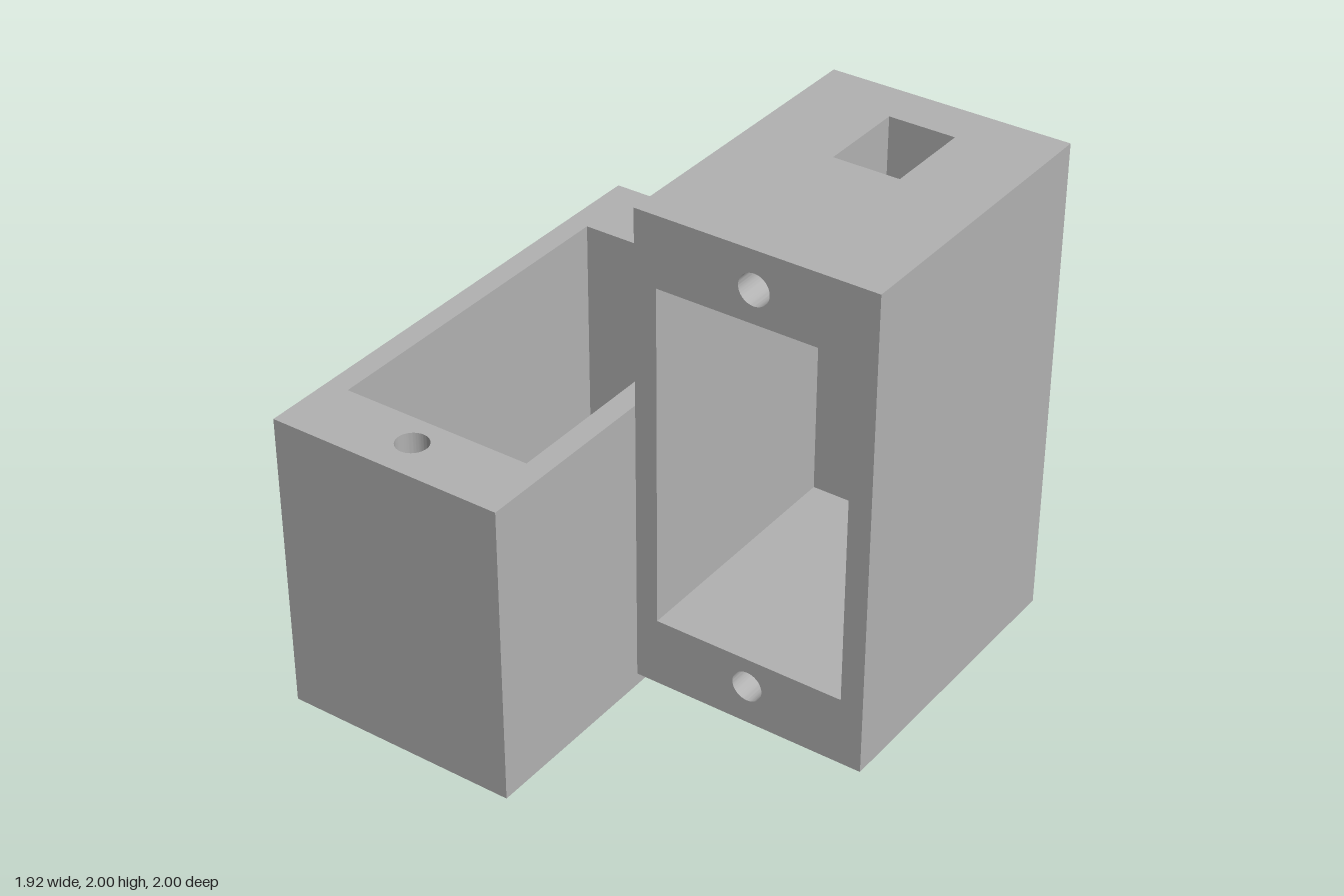
import * as THREE from 'three';
import { toCreasedNormals } from 'three/addons/utils/BufferGeometryUtils.js';

const grey = new THREE.MeshStandardMaterial({ color: 0xb2b2b2 });
grey.name = 'plainGrey';

const DEPTH = 1.22, BACK = 0.19, SLOT_END = 0.55, SCREW_DEPTH = 0.4;

function polygon(points, Type = THREE.Shape) {
  return new Type(points.map(([x, y]) => new THREE.Vector2(x, y)));
}

function rect(x0, x1, y0, y1, Type) {
  return polygon([[x0, y0], [x1, y0], [x1, y1], [x0, y1]], Type);
}

function circle(x, y, r) {
  const path = new THREE.Path();
  path.absarc(x, y, r, 0, Math.PI * 2, true);
  return path;
}

// One slab of a housing, from depth z0 to z1
function layer(name, shape, z0, z1) {
  const geometry = new THREE.ExtrudeGeometry(shape, { depth: z1 - z0, bevelEnabled: false, curveSegments: 40 });
  geometry.translate(0, 0, z0);
  const mesh = new THREE.Mesh(toCreasedNormals(geometry, 0.6), grey);
  mesh.name = name;
  return mesh;
}

// Open-fronted housing, stacked from its back wall to its open face
function housing(name, { x, y, pocketX, pocketY, screws, boreY, slotX }) {
  const group = new THREE.Group();
  group.name = name;
  const centre = (x[0] + x[1]) / 2;
  const pocket = () => rect(...pocketX, ...pocketY, THREE.Path);

  // Back wall with a round bore
  const back = rect(...x, ...y);
  back.holes.push(circle(centre, boreY, 0.19));
  group.add(layer('backWall', back, 0, BACK));

  // Walls, with an optional square slot through the top end
  let start = BACK;
  if (slotX) {
    const [s0, s1] = slotX, [p0, p1] = pocketX, [q0, q1] = pocketY;
    const slotted = polygon([
      [x[0], y[0]], [x[1], y[0]], [x[1], y[1]], [s1, y[1]], [s1, q1], [p1, q1],
      [p1, q0], [p0, q0], [p0, q1], [s0, q1], [s0, y[1]], [x[0], y[1]],
    ]);
    group.add(layer('slottedWalls', slotted, BACK, SLOT_END));
    start = SLOT_END;
  }
  const walls = rect(...x, ...y);
  walls.holes.push(pocket());
  group.add(layer('walls', walls, start, DEPTH - SCREW_DEPTH));

  // Rim with two blind screw holes
  const rim = rect(...x, ...y);
  rim.holes.push(pocket(), ...screws.map((sy) => circle(centre, sy, 0.062)));
  group.add(layer('screwRim', rim, DEPTH - SCREW_DEPTH, DEPTH));
  return group;
}

export function createModel() {
  const model = new THREE.Group();
  model.name = 'doubleHousing';

  // Tall housing, open to the front
  const upright = housing('uprightHousing', {
    x: [0, 0.96], y: [0.05, 2],
    pocketX: [0.09, 0.87], pocketY: [0.33, 1.72],
    screws: [1.85, 0.21], boreY: 1.343, slotX: [0.35, 0.615],
  });
  upright.position.z = -1;
  model.add(upright);

  // Lying housing, open to the top
  const lying = housing('lyingHousing', {
    x: [-0.96, 0], y: [-1, 1],
    pocketX: [-0.87, -0.09], pocketY: [-0.715, 0.675],
    screws: [0.8, -0.84], boreY: 0.295,
  });
  lying.rotation.x = -Math.PI / 2;
  model.add(lying);

  return model;
}
